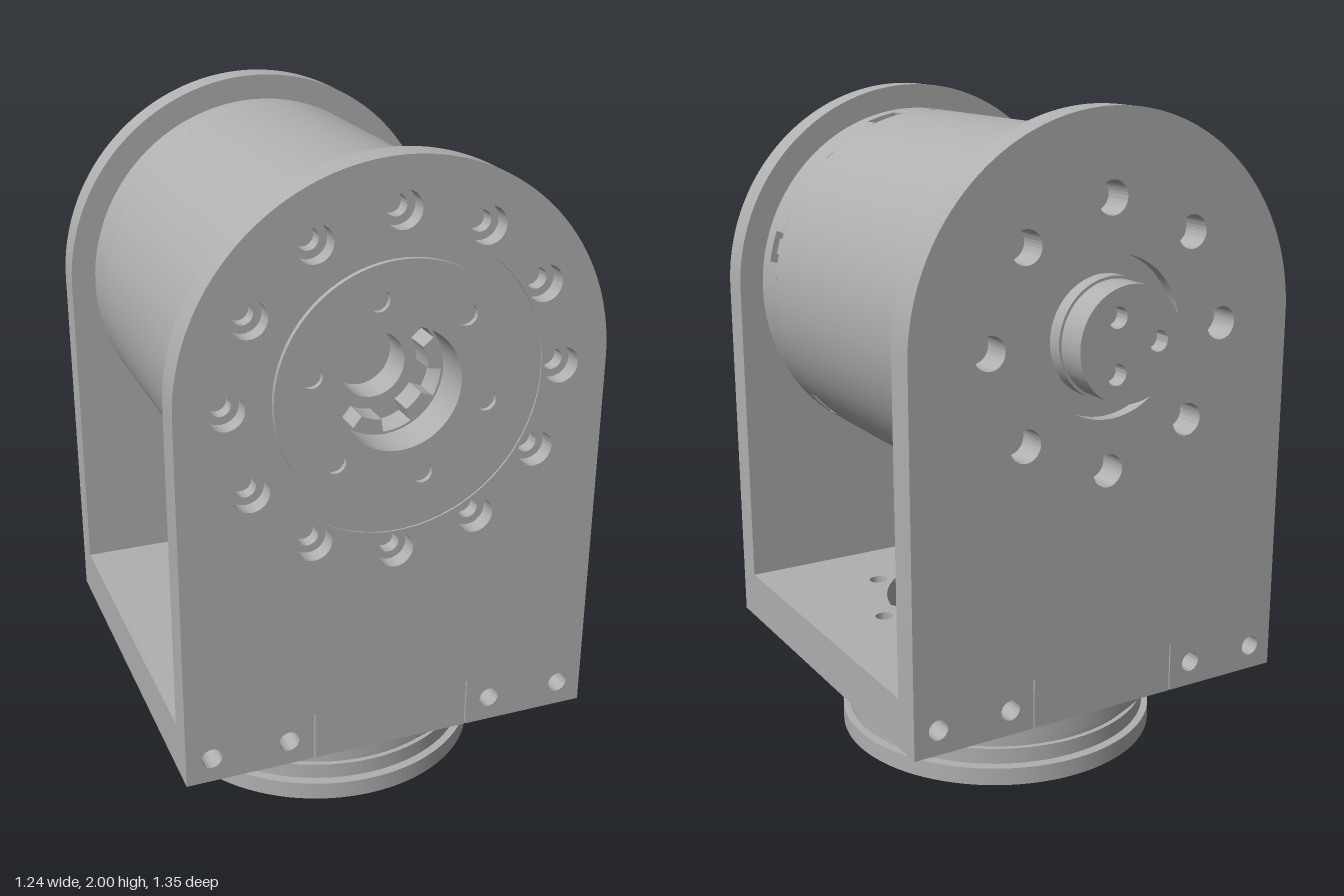
import * as THREE from 'three';
import { toCreasedNormals } from 'three/addons/utils/BufferGeometryUtils.js';

const TAU = Math.PI * 2;
const AXIS_Y = 1.38; // height of the motor axis

// Circular outline or hole
function circle(x, y, r, Kind = THREE.Path) {
  const p = new Kind();
  p.absarc(x, y, r, 0, TAU, false);
  return p;
}

// Disc with optional holes
function disc(r, holes = []) {
  const s = circle(0, 0, r, THREE.Shape);
  s.holes.push(...holes);
  return s;
}

// Holes evenly spread around a circle
function holeRing(n, radius, r, start = 0, cy = 0) {
  return Array.from({ length: n }, (_, i) => {
    const a = start + (i * TAU) / n;
    return circle(radius * Math.cos(a), cy + radius * Math.sin(a), r);
  });
}

// Closed outline from a radius rule
function polar(radiusAt, n = 160) {
  const pts = [];
  for (let i = 0; i < n; i++) {
    const a = (i * TAU) / n, r = radiusAt(a);
    pts.push(new THREE.Vector2(r * Math.cos(a), r * Math.sin(a)));
  }
  return new THREE.Path(pts);
}

// Round bore with screw bosses bulging inward: eight of two sizes
function bossBore(base) {
  return polar((a) => {
    let r = base;
    for (let i = 0; i < 8; i++) {
      const size = i % 2 ? 0.045 : 0.085;
      const d = a - (i * TAU) / 8;
      const k = size * size - (0.4 * Math.sin(d)) ** 2;
      if (Math.cos(d) > 0 && k > 0) r = Math.min(r, 0.4 * Math.cos(d) - Math.sqrt(k));
    }
    return r;
  });
}

// Arched yoke plate with two seam slits at the foot
function archPlate(holes) {
  const s = new THREE.Shape();
  s.moveTo(-0.62, 0.27);
  for (const x of [-0.238, 0.238]) {
    s.lineTo(x - 0.002, 0.27);
    s.lineTo(x - 0.002, 0.42);
    s.lineTo(x + 0.002, 0.42);
    s.lineTo(x + 0.002, 0.27);
  }
  s.lineTo(0.62, 0.27);
  s.lineTo(0.62, AXIS_Y);
  s.absarc(0, AXIS_Y, 0.62, 0, Math.PI, false);
  s.lineTo(-0.62, 0.27);
  const feet = [-0.545, -0.315, 0.315, 0.545].map((x) => circle(x, 0.345, 0.03));
  s.holes.push(...feet, ...holes);
  return s;
}

// Curved wall piece between two angles
function wall(a0, a1, r0, r1) {
  const s = new THREE.Shape();
  s.absarc(0, 0, r1, a0, a1, false);
  s.absarc(0, 0, r0, a1, a0, true);
  s.closePath();
  return s;
}

export function createModel() {
  const grey = new THREE.MeshStandardMaterial({ color: 0xb0b0b0 });
  const model = new THREE.Group();
  model.name = 'motorYoke';
  const yoke = new THREE.Group(), motor = new THREE.Group(), base = new THREE.Group();
  yoke.name = 'yoke';
  motor.name = 'motor';
  motor.position.y = AXIS_Y;
  base.name = 'baseRing';
  base.position.z = 0.045;
  model.add(yoke, motor, base);

  // Extrude along z from z0 to z1, or along y when upright
  function solid(parent, name, shape, from, to, upright = false, segments = 48) {
    let g = new THREE.ExtrudeGeometry(shape, {
      depth: to - from, bevelEnabled: false, curveSegments: segments,
    });
    g.translate(0, 0, from);
    if (upright) g.rotateX(-Math.PI / 2);
    g = toCreasedNormals(g, 0.5);
    const m = new THREE.Mesh(g, grey);
    m.name = name;
    parent.add(m);
    return m;
  }

  // Yoke: front plate in two layers for the counterbores, back plate, floor
  const opening = () => circle(0, AXIS_Y, 0.42);
  solid(yoke, 'frontPlateInner', archPlate([opening(), ...holeRing(12, 0.48, 0.03, 0, AXIS_Y)]), 0.575, 0.615);
  solid(yoke, 'frontPlateOuter', archPlate([opening(), ...holeRing(12, 0.48, 0.052, 0, AXIS_Y)]), 0.615, 0.665);
  solid(yoke, 'backPlate', archPlate([circle(0, AXIS_Y, 0.23), ...holeRing(8, 0.38, 0.048, 0, AXIS_Y)]), -0.577, -0.485);
  const floor = new THREE.Shape();
  floor.moveTo(-0.62, -0.53);
  floor.lineTo(0.62, -0.53);
  floor.lineTo(0.62, 0.53);
  floor.lineTo(-0.62, 0.53);
  floor.closePath();
  floor.holes.push(bossBore(0.35), ...holeRing(8, 0.4, 0.028));
  solid(yoke, 'yokeFloor', floor, 0.27, 0.42, true).position.z = 0.045;

  // Base ring: stacked steps sharing one bore
  const steps = [
    [0, 0.055, 0.5], [0.055, 0.062, 0.47], [0.062, 0.11, 0.48], [0.11, 0.125, 0.465],
    [0.125, 0.145, 0.48], [0.145, 0.158, 0.5], [0.158, 0.27, 0.51],
  ];
  for (const [y0, y1, r] of steps) {
    solid(base, 'ringStep', disc(r, [bossBore(0.43), ...holeRing(8, 0.4, 0.028)]), y0, y1, true);
  }

  // Motor housing: bands of wall with window gaps, over a solid core
  solid(motor, 'core', disc(0.49, [circle(0, 0, 0.175)]), -0.485, 0.575);
  const rad = Math.PI / 180;
  function band(z0, z1, gaps) {
    if (!gaps.length) {
      solid(motor, 'housing', disc(0.545, [circle(0, 0, 0.49)]), z0, z1);
      return;
    }
    gaps.forEach(([, start], i) => {
      const next = i + 1 < gaps.length ? gaps[i + 1][0] : gaps[0][0] + 360;
      solid(motor, 'housing', wall(start * rad, next * rad, 0.49, 0.545), z0, z1);
    });
  }
  const slots = Array.from({ length: 6 }, (_, i) => [9.8 + 60 * i, 20.2 + 60 * i]);
  const ports = [[-52, -36.5], [30.5, 60]];
  band(-0.485, -0.46, []);
  band(-0.46, -0.355, ports);
  band(-0.355, 0.465, []);
  band(0.465, 0.522, slots);
  band(0.522, 0.575, []);

  // Clips in the slots and plugs in the ports
  for (const [a0, a1] of slots) {
    solid(motor, 'clip', wall((a0 + 3) * rad, (a1 - 2) * rad, 0.48, 0.53), 0.475, 0.515);
  }
  for (const [a0, a1] of ports) {
    solid(motor, 'plugShell', wall((a1 - 6) * rad, (a1 - 1.5) * rad, 0.48, 0.535), -0.45, -0.365);
    solid(motor, 'plugRail', wall((a0 + 1) * rad, (a1 - 6) * rad, 0.48, 0.525), -0.45, -0.435);
    solid(motor, 'plugPin', wall((a0 + 3) * rad, (a1 - 8) * rad, 0.48, 0.515), -0.415, -0.4);
  }

  // Front hub: recessed rim, raised face with screw holes, lobed collar in the bore
  solid(motor, 'hubRim', disc(0.42, [circle(0, 0, 0.175)]), 0.575, 0.66);
  solid(motor, 'hubBack', disc(0.355, [circle(0, 0, 0.175)]), 0.575, 0.635);
  solid(motor, 'hubFace', disc(0.355, [circle(0, 0, 0.175), ...holeRing(6, 0.26, 0.03, 45 * rad)]), 0.635, 0.675);
  const lobes = polar((a) => (Math.cos(6 * (a - 15 * rad)) > 0 ? 0.13 : 0.168));
  solid(motor, 'lobedCollar', disc(0.176, [lobes]), 0.48, 0.56);
  solid(motor, 'boreRing', disc(0.176, [circle(0, 0, 0.095)]), 0.38, 0.48);
  solid(motor, 'boreFloor', disc(0.176), 0.2, 0.25);

  // Back shaft with three blind holes
  solid(motor, 'rearBoss', disc(0.23), -0.54, -0.48);
  solid(motor, 'shaftCollar', disc(0.172), -0.585, -0.54);
  solid(motor, 'shaft', disc(0.164), -0.625, -0.585);
  solid(motor, 'shaftEnd', disc(0.164, holeRing(3, 0.09, 0.03, Math.PI)), -0.675, -0.625);

  return model;
}
